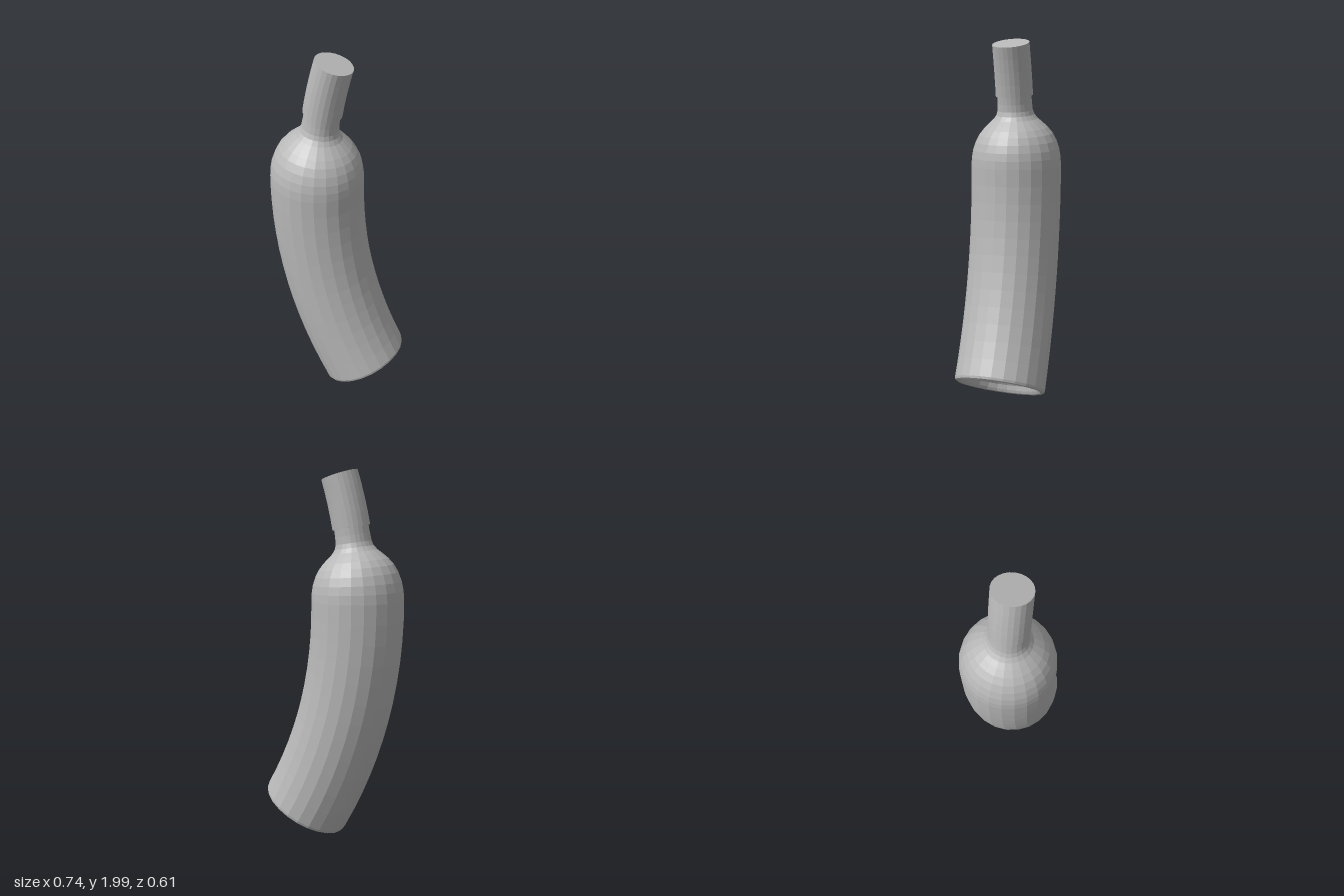
import * as THREE from 'three';

const SIDES = 24;
const RADIUS = 2.4;          // radius of the bend
const BASE_ANGLE = -0.504;   // tilt at the base, zero where the bottle is upright
const AXIS = new THREE.Vector2(0.911, -0.412); // bend direction in x, z
const ORIGIN = new THREE.Vector3(-0.12, 1.28, 0.06);

// Wraps an upright geometry around the bend circle
function bend(geometry) {
  const pos = geometry.attributes.position;
  for (let i = 0; i < pos.count; i++) {
    const x = pos.getX(i), z = pos.getZ(i);
    const along = x * AXIS.x + z * AXIS.y;
    const a = pos.getY(i) / RADIUS + BASE_ANGLE;
    const shift = RADIUS - (RADIUS - along) * Math.cos(a) - along;
    pos.setXYZ(i,
      ORIGIN.x + x + shift * AXIS.x,
      ORIGIN.y + (RADIUS - along) * Math.sin(a),
      ORIGIN.z + z + shift * AXIS.y);
  }
  geometry.computeVertexNormals();
  return geometry;
}

function bentLathe(name, profile, material) {
  const points = profile.map(([r, y]) => new THREE.Vector2(r, y));
  const mesh = new THREE.Mesh(bend(new THREE.LatheGeometry(points, SIDES)), material);
  mesh.name = name;
  return mesh;
}

export function createModel() {
  const group = new THREE.Group();
  group.name = 'bentBottle';
  const grey = new THREE.MeshStandardMaterial({ color: 0xb8b8b8, flatShading: true });
  grey.name = 'grey';

  // Hollow underside and rounded rim
  const profile = [
    [0, 0.11], [0.06, 0.105], [0.12, 0.09], [0.17, 0.068], [0.205, 0.038],
    [0.216, 0.015], [0.226, 0.003], [0.238, 0], [0.246, 0.005], [0.25, 0.018],
  ];
  // Straight wall
  for (let i = 1; i <= 12; i++) profile.push([0.25, 0.018 + i * 0.102]);
  // Shoulder and neck
  profile.push(
    [0.247, 1.29], [0.239, 1.335], [0.224, 1.38], [0.203, 1.42], [0.176, 1.453],
    [0.147, 1.48], [0.122, 1.502], [0.105, 1.525], [0.097, 1.55], [0.094, 1.59], [0.093, 1.64],
  );
  group.add(bentLathe('bottleBody', profile, grey));

  // Long cap over the neck
  const cap = [[0, 1.63], [0.102, 1.63]];
  for (let i = 1; i <= 4; i++) cap.push([0.102 - i * 0.0005, 1.63 + i * 0.0705]);
  cap.push([0, 1.912]);
  group.add(bentLathe('cap', cap, grey));

  return group;
}
